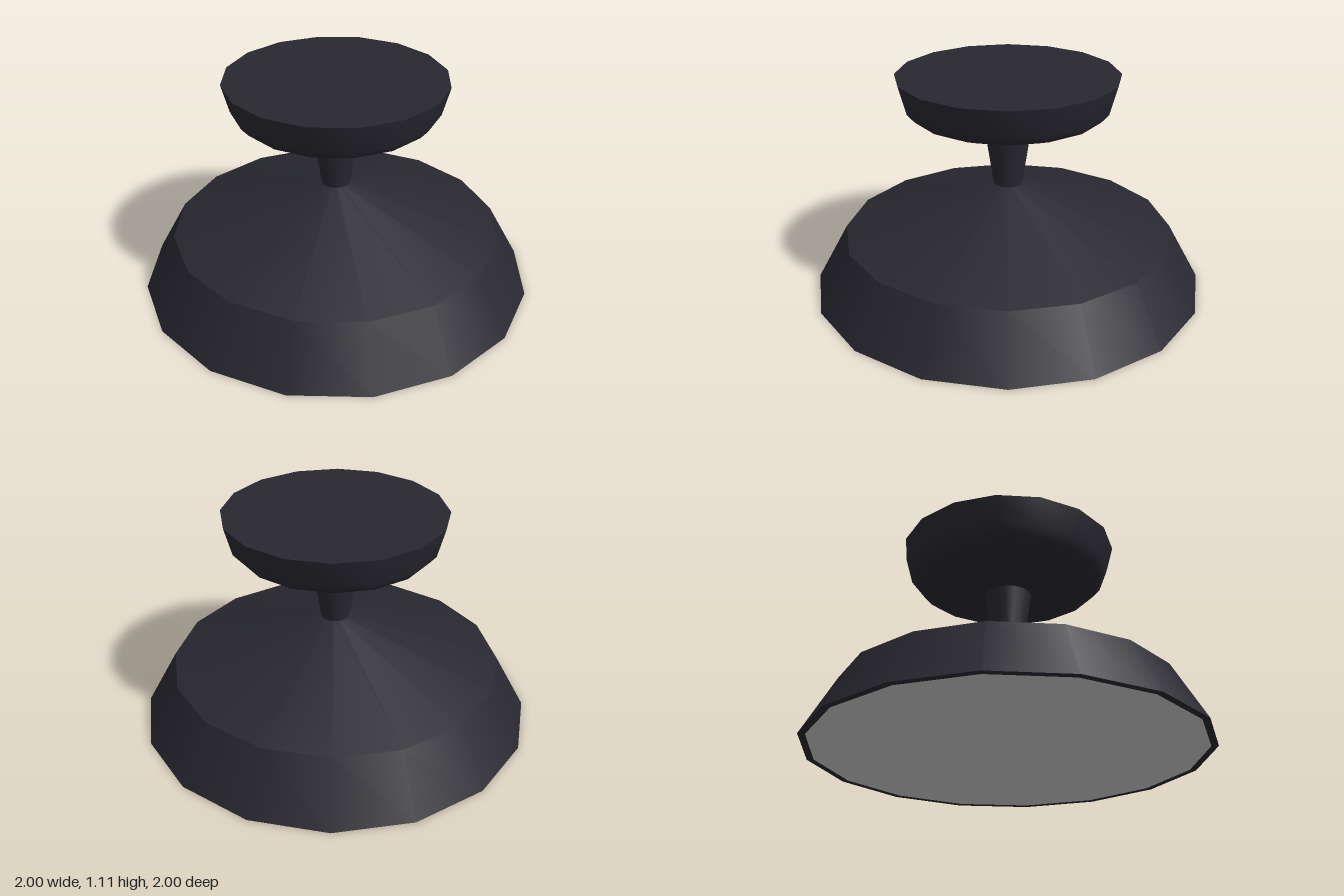
import * as THREE from 'three';

const SIDES = 16;

// Each band is turned separately: smooth inside a band, sharp between bands.
function turned(name, material, bands) {
  const part = new THREE.Group();
  part.name = name;
  bands.forEach((band, i) => {
    const profile = band.map(([r, y]) => new THREE.Vector2(r, y));
    const mesh = new THREE.Mesh(new THREE.LatheGeometry(profile, SIDES), material);
    mesh.name = `${name}Surface${i + 1}`;
    part.add(mesh);
  });
  return part;
}

export function createModel() {
  const model = new THREE.Group();
  model.name = 'pedestalKnob';
  const dark = new THREE.MeshStandardMaterial({ color: 0x292831 });
  const grey = new THREE.MeshStandardMaterial({ color: 0xcccccc });

  // Base: bottom rim, sloping skirt, shallow cone
  model.add(turned('base', dark, [
    [[0.965, 0], [1, 0]],
    [[1, 0], [0.838, 0.293]],
    [[0.838, 0.293], [0.073, 0.543]],
  ]));

  // Hollow underside, a shallow dome
  const dome = [0, 0.2, 0.4, 0.6, 0.8, 1].map((t) => [0.965 * t, 0.14 * (1 - t * t)]);
  model.add(turned('underside', grey, [dome]));

  // Stem flaring upward
  model.add(turned('stem', dark, [[[0.073, 0.543], [0.12, 0.856]]]));

  // Knob: rounded bowl and flat top
  model.add(turned('knob', dark, [
    [[0, 0.855], [0.12, 0.856], [0.38, 0.888], [0.478, 0.928], [0.515, 0.97], [0.553, 1.112]],
    [[0.553, 1.112], [0, 1.112]],
  ]));

  return model;
}
